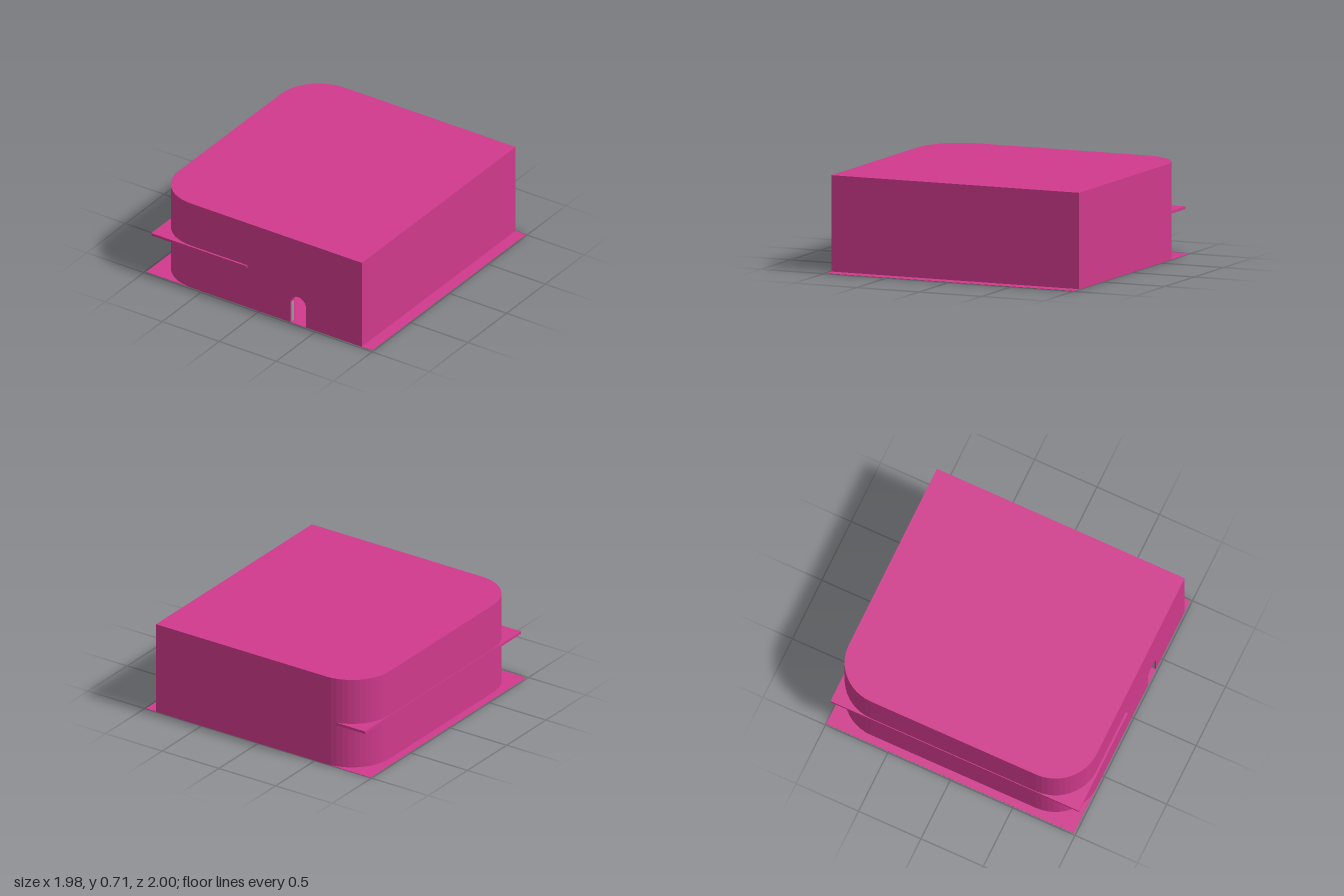
import * as THREE from 'three';

const pink = new THREE.MeshStandardMaterial({ color: 0xd03a8c });
pink.name = 'magenta';
const grey = new THREE.MeshStandardMaterial({ color: 0x8fa098 });
grey.name = 'greyGreen';

const HEIGHT = 0.71, FLOOR = 0.003, ROOF = 0.03, WALL = 0.05;
const X0 = -0.93, X1 = 0.9, Z0 = -1, Z1 = 0.985, R = 0.33;

export function createModel() {
  const model = new THREE.Group();
  model.name = 'building';

  const add = (name, geometry, material = pink) => {
    const mesh = new THREE.Mesh(geometry, material);
    mesh.name = name;
    model.add(mesh);
    return mesh;
  };
  // Box given by its minimum and maximum corners
  const box = (name, [ax, ay, az], [bx, by, bz], material) =>
    add(name, new THREE.BoxGeometry(bx - ax, by - ay, bz - az), material)
      .position.set((ax + bx) / 2, (ay + by) / 2, (az + bz) / 2);
  // Plan shape (x, z) extruded downwards from the given top
  const slab = (name, shape, top, depth) => {
    const g = new THREE.ExtrudeGeometry(shape, { depth, bevelEnabled: false, curveSegments: 6 });
    g.rotateX(Math.PI / 2);
    g.translate(0, top, 0);
    add(name, g);
  };

  // Ground plate
  box('groundPlate', [-0.99, 0.001, -1], [0.99, FLOOR, Z1]);

  // Roof with two rounded corners
  const cx = X0 + R, cz = Z1 - R, cb = Z0 + R;
  const roof = new THREE.Shape();
  roof.moveTo(cx, Z1);
  roof.absarc(cx, cz, R, Math.PI / 2, Math.PI, false);
  roof.absarc(cx, cb, R, Math.PI, Math.PI * 1.5, false);
  roof.lineTo(X1, Z0);
  roof.lineTo(X1, Z1);
  slab('roof', roof, HEIGHT, ROOF);

  // Side and back walls following the same outline
  const walls = new THREE.Shape();
  walls.moveTo(cx, Z1);
  walls.absarc(cx, cz, R, Math.PI / 2, Math.PI, false);
  walls.absarc(cx, cb, R, Math.PI, Math.PI * 1.5, false);
  walls.lineTo(X1, Z0);
  walls.lineTo(X1, Z1);
  walls.lineTo(X1 - WALL, Z1);
  walls.lineTo(X1 - WALL, Z0 + WALL);
  walls.lineTo(cx, Z0 + WALL);
  walls.absarc(cx, cb, R - WALL, Math.PI * 1.5, Math.PI, true);
  walls.absarc(cx, cz, R - WALL, Math.PI, Math.PI / 2, true);
  slab('sideAndBackWalls', walls, HEIGHT - ROOF, HEIGHT - ROOF - FLOOR);

  // Front wall with the arched doorway
  const doorL = 0.275, doorR = 0.41, doorRadius = (doorR - doorL) / 2, spring = 0.167;
  const front = new THREE.Shape();
  front.moveTo(cx, FLOOR);
  front.lineTo(doorL, FLOOR);
  front.lineTo(doorL, spring);
  front.absarc((doorL + doorR) / 2, spring, doorRadius, Math.PI, 0, true);
  front.lineTo(doorR, FLOOR);
  front.lineTo(X1 - WALL, FLOOR);
  front.lineTo(X1 - WALL, HEIGHT - ROOF);
  front.lineTo(cx, HEIGHT - ROOF);
  const frontGeometry = new THREE.ExtrudeGeometry(front, { depth: WALL, bevelEnabled: false, curveSegments: 10 });
  frontGeometry.translate(0, 0, Z1 - WALL);
  add('frontWall', frontGeometry);

  // Thin canopy ledge around the rounded end
  box('ledge', [-0.935, 0.335, -0.99], [-0.1, 0.355, 1]);

  // Corridor walls inside
  for (const x of [0.19, 0.5]) {
    box('corridorWall', [x - 0.015, FLOOR, Z0 + WALL], [x + 0.015, HEIGHT - ROOF, -0.33]);
  }

  // Frame posts, showing through the ground plate: x, z, width, depth
  const posts = [
    [0.565, 0.51, 0.03, 0.12], [0.577, 0.165, 0.03, 0.12],
    [0.495, -0.16, 0.04, 0.05], [0.5, -0.29, 0.04, 0.05],
    [0.186, -0.166, 0.04, 0.05], [0.19, -0.3, 0.04, 0.05],
    [0.097, 0.15, 0.03, 0.06], [-0.32, 0.29, 0.04, 0.03],
    [-0.875, 0.29, 0.04, 0.03],
    [0.258, 0.96, 0.038, 0.03], [0.427, 0.96, 0.038, 0.03],
  ];
  for (const [x, z, w, d] of posts) {
    box('framePost', [x - w / 2, 0, z - d / 2], [x + w / 2, 0.167, z + d / 2], grey);
  }
  return model;
}
